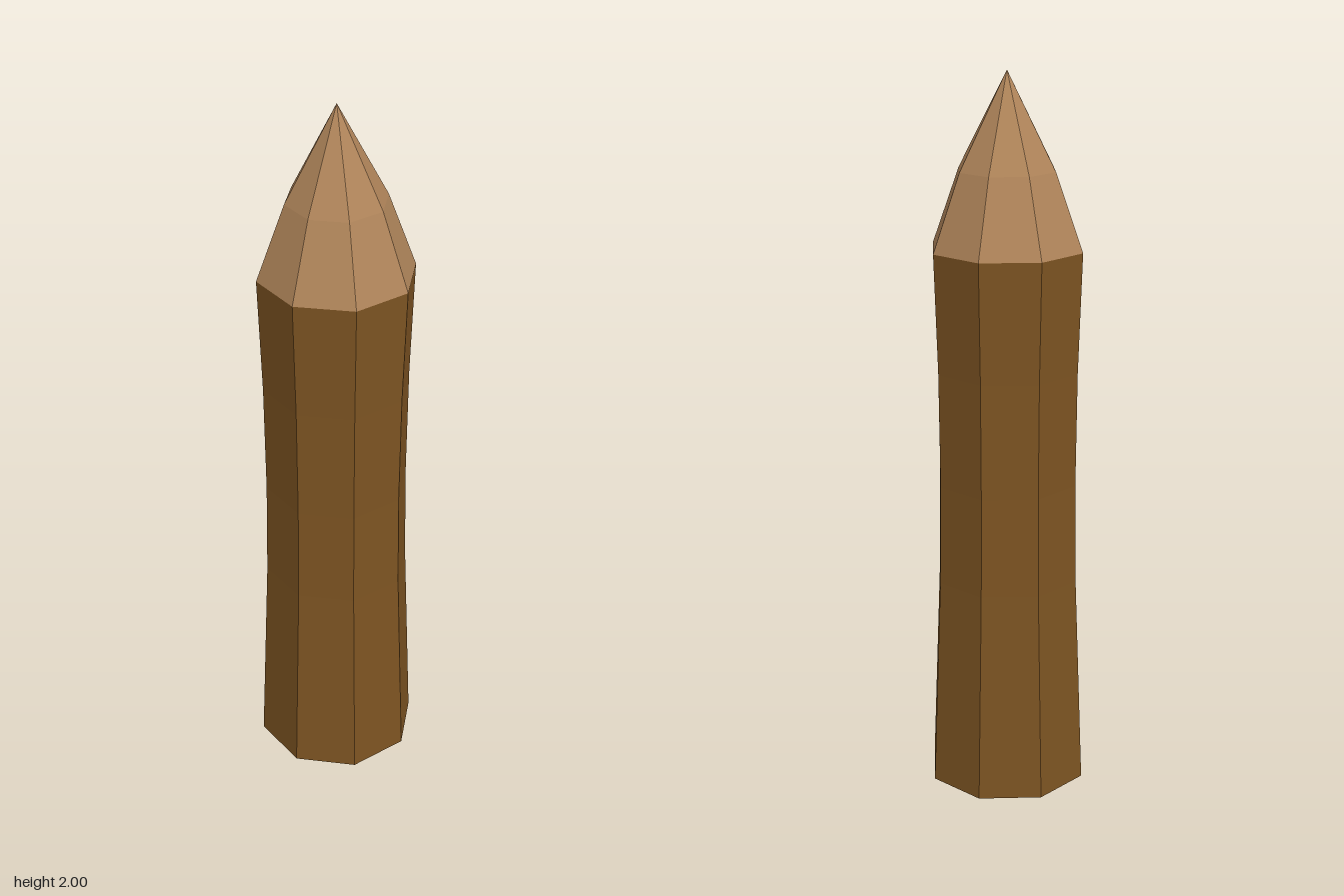
import * as THREE from 'three';

const SIDES = 8;

// Faceted eight-sided surface from [radius, height] pairs, listed bottom to top
function faceted(name, profile, color) {
  const points = profile.map(([r, y]) => new THREE.Vector2(r, y));
  const geometry = new THREE.LatheGeometry(points, SIDES).toNonIndexed();
  geometry.computeVertexNormals();
  const material = new THREE.MeshStandardMaterial({ color, flatShading: true, side: THREE.DoubleSide });
  const mesh = new THREE.Mesh(geometry, material);
  mesh.name = name;
  return mesh;
}

export function createModel() {
  const group = new THREE.Group();
  group.name = 'woodenStake';

  // Bark-covered shaft, slightly waisted and open underneath
  group.add(faceted('shaft', [
    [0.228, 0], [0.204, 0.6], [0.2, 0.88], [0.203, 1.2], [0.214, 1.53],
  ], 0x7d5422));

  // Carved point of bare wood
  group.add(faceted('point', [
    [0.214, 1.53], [0.137, 1.74], [0, 2],
  ], 0xb0855a));

  return group;
}
